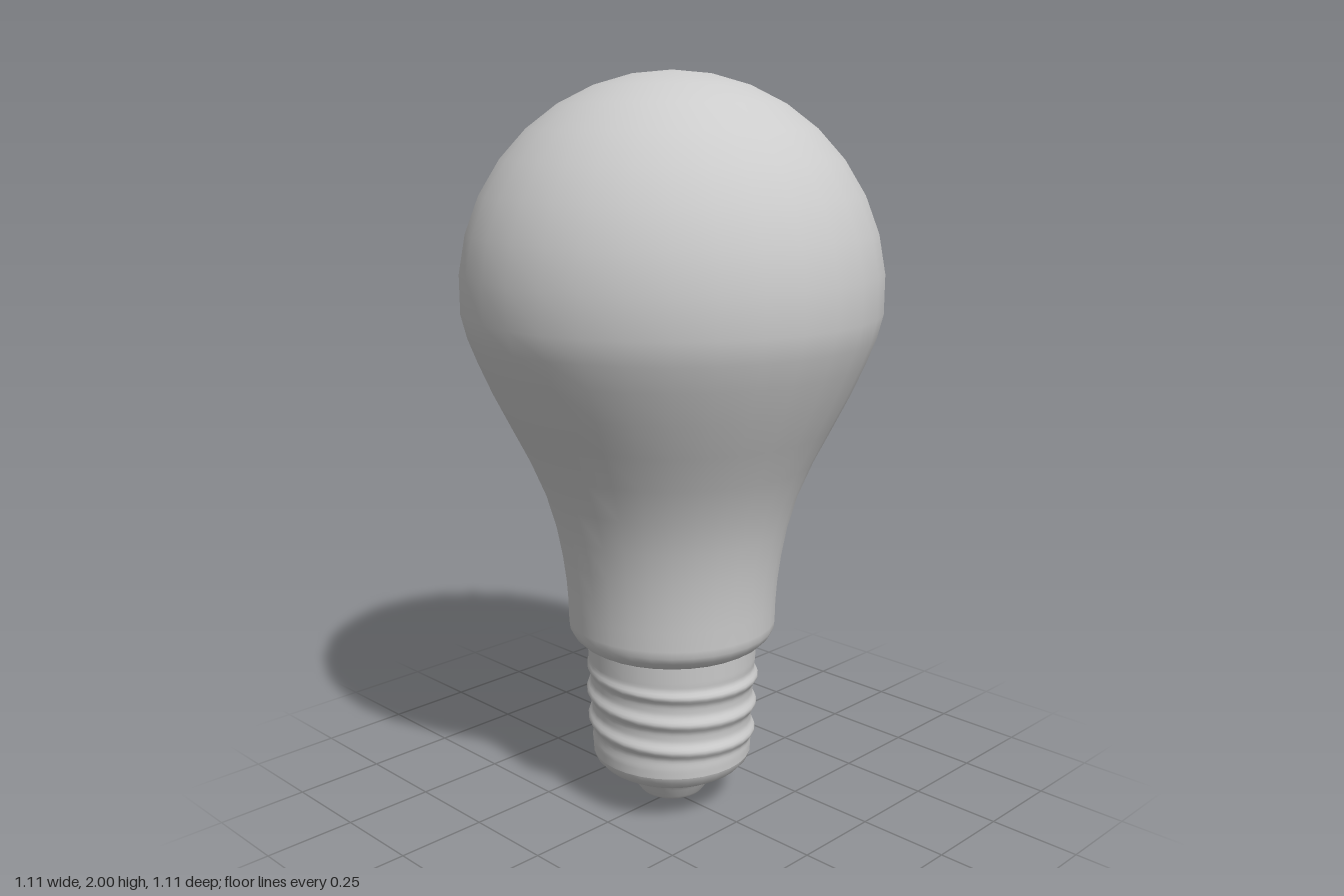
import * as THREE from 'three';
import { mergeVertices } from 'three/addons/utils/BufferGeometryUtils.js';

const SEGMENTS = 32;
const grey = new THREE.MeshStandardMaterial({ color: 0xcccccc });
grey.name = 'grey';

// Turns a profile of [radius, y] pairs, listed from bottom to top
function turned(name, profile) {
  const points = profile.map(([r, y]) => new THREE.Vector2(r, y));
  const mesh = new THREE.Mesh(new THREE.LatheGeometry(points, SEGMENTS), grey);
  mesh.name = name;
  return mesh;
}

// Glass envelope: rolled lip, flared neck and round crown
function glassBulb() {
  const profile = [
    [0.225, 0.474], [0.243, 0.476], [0.258, 0.485], [0.275, 0.502], [0.284, 0.52], [0.286, 0.54],
    [0.287, 0.59], [0.292, 0.66], [0.301, 0.73], [0.316, 0.81],
    [0.342, 0.9], [0.382, 0.995], [0.43, 1.09], [0.475, 1.18], [0.512, 1.265], [0.537, 1.33],
  ];
  const radius = 0.555, centre = 1.445, steps = 9;
  for (let i = 0; i <= steps; i++) {
    const a = THREE.MathUtils.degToRad(95.5 * (1 - i / steps));
    profile.push([radius * Math.sin(a), centre + radius * Math.cos(a)]);
  }
  return turned('glassBulb', profile);
}

// Screw shell: a tapered sleeve with a helical ridge raised from its wall
function screwShell() {
  const bottom = 0.15, top = 0.476, rows = 44, pitch = 0.08, depth = 0.013;
  const profile = [];
  for (let i = 0; i <= rows; i++) {
    const t = i / rows;
    profile.push(new THREE.Vector2(0.222 + 0.014 * t, bottom + (top - bottom) * t));
  }
  let geometry = new THREE.LatheGeometry(profile, SEGMENTS);
  geometry.deleteAttribute('uv');
  geometry.deleteAttribute('normal');
  geometry = mergeVertices(geometry);
  const pos = geometry.attributes.position;
  for (let i = 0; i < pos.count; i++) {
    const x = pos.getX(i), y = pos.getY(i), z = pos.getZ(i);
    const r = Math.hypot(x, z), phi = Math.atan2(x, z);
    const wave = 0.5 + 0.5 * Math.cos(2 * Math.PI * (y - 0.38) / pitch + phi);
    const fade = THREE.MathUtils.smoothstep(y, 0.17, 0.21)
      * (1 - THREE.MathUtils.smoothstep(y, 0.385, 0.425));
    const k = 1 + depth * fade * (wave * wave - 0.25) / r;
    pos.setXYZ(i, x * k, y, z * k);
  }
  geometry.computeVertexNormals();
  const mesh = new THREE.Mesh(geometry, grey);
  mesh.name = 'screwShell';
  return mesh;
}

export function createModel() {
  const model = new THREE.Group();
  model.name = 'lightBulb';
  model.add(
    glassBulb(),
    screwShell(),
    // Rounded underside of the shell
    turned('shellBottom', [
      [0.115, 0.083], [0.14, 0.087], [0.172, 0.099], [0.2, 0.116], [0.217, 0.135], [0.222, 0.151],
    ]),
    // Tapered insulator
    turned('insulator', [
      [0.05, 0.018], [0.075, 0.02], [0.088, 0.024], [0.096, 0.034], [0.112, 0.06], [0.122, 0.077], [0.132, 0.086],
    ]),
    // Small domed contact at the foot
    turned('contact', [
      [0, 0], [0.03, 0.002], [0.05, 0.007], [0.06, 0.014], [0.063, 0.022],
    ]),
  );
  return model;
}
